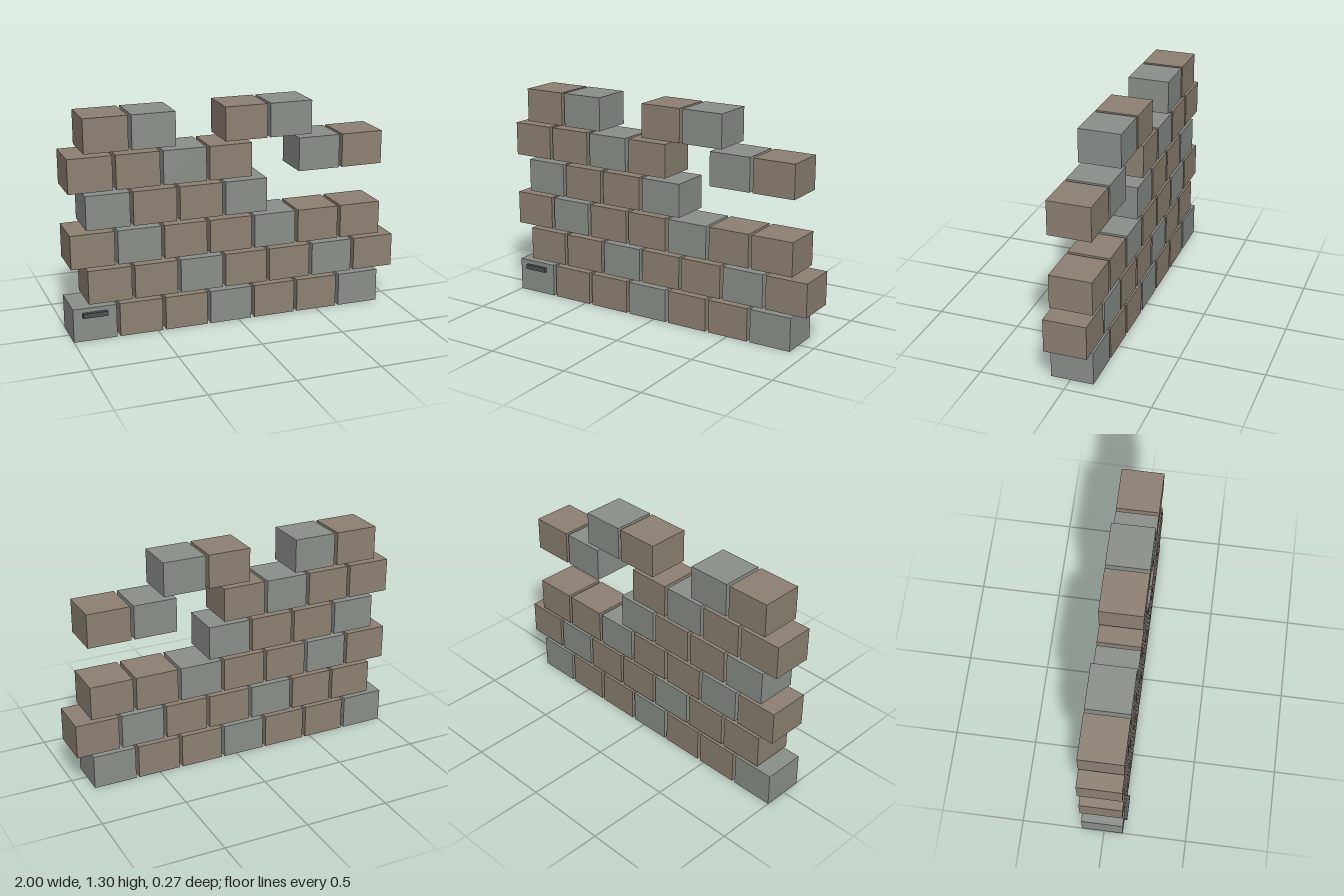
import * as THREE from 'three';

const BLOCK = { w: 0.255, h: 0.2, d: 0.25 };
const PITCH_X = 0.275, PITCH_Y = 0.22, STAGGER = 0.095;
const CENTRE_Z = -0.01;

// Courses from the ground up: # is a block, . is a gap in the ruined wall
const COURSES = ['#######', '#######', '#######', '####...', '####.##', '##.##..'];

export function createModel() {
  const wall = new THREE.Group();
  wall.name = 'ruinedBlockWall';

  const brownStone = new THREE.MeshStandardMaterial({ color: 0x8d8173 });
  const greyStone = new THREE.MeshStandardMaterial({ color: 0x8b908a });
  const darkPlate = new THREE.MeshStandardMaterial({ color: 0x4a5050 });
  const blockGeometry = new THREE.BoxGeometry(BLOCK.w, BLOCK.h, BLOCK.d);

  // Staggered courses, with every third block grey
  COURSES.forEach((course, row) => {
    const group = new THREE.Group();
    group.name = `course${row + 1}`;
    group.position.set(-1 + (row % 2) * STAGGER, row * PITCH_Y, CENTRE_Z);
    [...course].forEach((cell, col) => {
      if (cell !== '#') return;
      const block = new THREE.Mesh(blockGeometry, (row + col) % 3 ? brownStone : greyStone);
      block.name = `block${col + 1}`;
      block.position.set(col * PITCH_X + BLOCK.w / 2, BLOCK.h / 2, 0);
      group.add(block);
    });
    wall.add(group);
  });

  // Small dark plate on the front of the corner block
  const plate = new THREE.Mesh(new THREE.BoxGeometry(0.145, 0.028, 0.02), darkPlate);
  plate.name = 'plate';
  plate.position.set(-0.8725, 0.16, 0.125);
  wall.add(plate);

  return wall;
}
